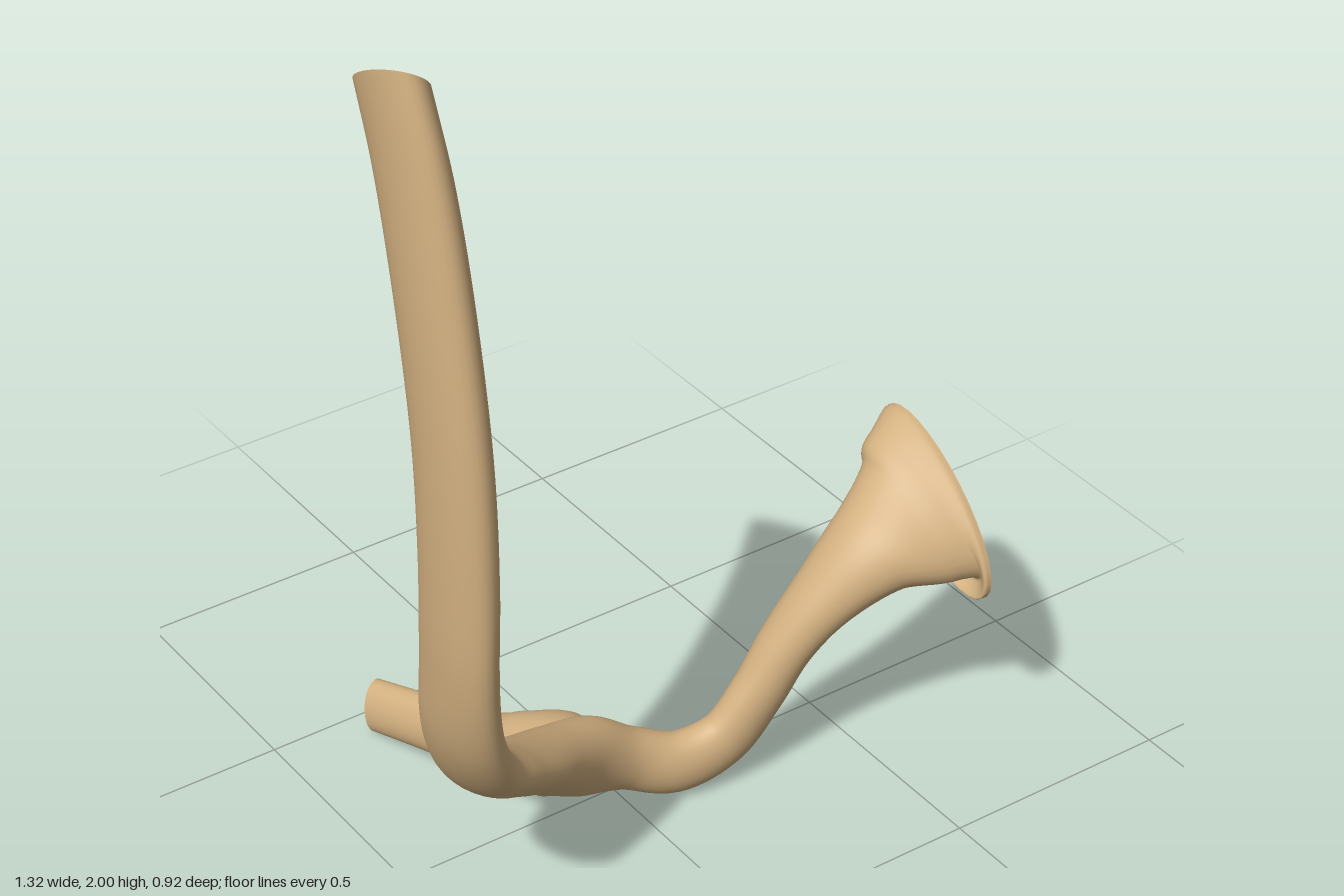
import * as THREE from 'three';

const SIDES = 32;
const smooth = (pts) => new THREE.CatmullRomCurve3(pts, false, 'centripetal');

// Elliptical loft. Each station: [centre, long half-width, short half-width, long-axis direction]
function loft(stations, steps, { endTangent, warp } = {}) {
  const v = (a) => new THREE.Vector3(...a);
  const path = smooth(stations.map((s) => v(s[0])));
  const size = smooth(stations.map((s, i) => new THREE.Vector3(s[1], s[2], i * 0.05)));
  const axis = smooth(stations.map((s, i) => v(s[3]).normalize().addScaledVector(new THREE.Vector3(1, 1, 1), i * 1e-5)));
  const pos = [], index = [], rings = [];

  for (let i = 0; i <= steps; i++) {
    const u = i / steps;
    const c = path.getPoint(u), s = size.getPoint(u), t = path.getTangent(u);
    if (endTangent) t.lerp(endTangent, THREE.MathUtils.smoothstep(u, 0.88, 0.97)).normalize();
    const d = axis.getPoint(u);
    d.addScaledVector(t, -d.dot(t)).normalize();
    const e = t.clone().cross(d);
    const ring = [];
    for (let j = 0; j < SIDES; j++) {
      const a = (j / SIDES) * Math.PI * 2;
      const p = c.clone().addScaledVector(d, s.x * Math.cos(a)).addScaledVector(e, s.y * Math.sin(a));
      if (warp) warp(p, c);
      ring.push(p);
      pos.push(p.x, p.y, p.z);
    }
    rings.push([c, ring]);
  }
  for (let i = 0; i < steps; i++) {
    for (let j = 0; j < SIDES; j++) {
      const k = (j + 1) % SIDES;
      const a = i * SIDES + j, b = i * SIDES + k;
      index.push(a, b, a + SIDES, b, b + SIDES, a + SIDES);
    }
  }
  // Flat caps with their own vertices keep the cut edges sharp
  const cap = ([c, ring], flip) => {
    const base = pos.length / 3;
    pos.push(c.x, c.y, c.z);
    ring.forEach((p) => pos.push(p.x, p.y, p.z));
    for (let j = 0; j < SIDES; j++) {
      const a = base + 1 + j, b = base + 1 + ((j + 1) % SIDES);
      index.push(base, flip ? b : a, flip ? a : b);
    }
  };
  cap(rings[0], true);
  cap(rings[steps], false);

  const g = new THREE.BufferGeometry();
  g.setAttribute('position', new THREE.Float32BufferAttribute(pos, 3));
  g.setIndex(index);
  g.computeVertexNormals();
  return g;
}

export function createModel() {
  const group = new THREE.Group();
  group.name = 'branchHook';
  const wood = new THREE.MeshStandardMaterial({ color: 0xd2b080 });
  wood.name = 'tanWood';

  const add = (name, geometry) => {
    const mesh = new THREE.Mesh(geometry, wood);
    mesh.name = name;
    group.add(mesh);
  };

  // Tall post, bending into the low arm and rising again to the flared foot
  const Z = [0, 0, 1], ARM = [0.57, 0, 0.82];
  const main = [
    [[-0.602, 1.94, 0.222], 0.094, 0.055, Z],
    [[-0.592, 1.78, 0.264], 0.099, 0.055, Z],
    [[-0.585, 1.55, 0.308], 0.102, 0.055, Z],
    [[-0.578, 1.25, 0.344], 0.104, 0.055, Z],
    [[-0.575, 1.0, 0.35], 0.105, 0.055, Z],
    [[-0.571, 0.8, 0.338], 0.106, 0.053, Z],
    [[-0.546, 0.6, 0.305], 0.102, 0.053, [0.15, 0, 1]],
    [[-0.48, 0.455, 0.255], 0.098, 0.052, [0.35, 0, 0.9]],
    [[-0.4, 0.375, 0.205], 0.092, 0.05, ARM],
    [[-0.3, 0.298, 0.14], 0.088, 0.055, ARM],
    [[-0.2, 0.228, 0.085], 0.078, 0.07, ARM],
    [[-0.1, 0.172, 0.052], 0.066, 0.082, [0.3, 0, 0.95]],
    [[0, 0.122, 0.053], 0.052, 0.068, [-0.1, 0, 1]],
    [[0.1, 0.086, 0.08], 0.05, 0.069, [-0.2, 0, 1]],
    [[0.2, 0.116, 0.102], 0.048, 0.066, Z],
    [[0.27, 0.215, 0.122], 0.052, 0.06, Z],
    [[0.33, 0.325, 0.138], 0.06, 0.056, Z],
    [[0.4, 0.42, 0.16], 0.073, 0.062, [0, -0.2, 1]],
    [[0.5, 0.51, 0.183], 0.105, 0.08, [0, -0.4, 0.9]],
    [[0.59, 0.553, 0.195], 0.155, 0.083, [0, -0.64, 0.77]],
    [[0.625, 0.568, 0.195], 0.188, 0.09, [0, -0.64, 0.77]],
    [[0.64, 0.572, 0.195], 0.213, 0.1, [0, -0.64, 0.77]],
    [[0.655, 0.574, 0.195], 0.217, 0.1, [0, -0.64, 0.77]],
  ];
  add('postAndFlaredFoot', loft(main, 176, {
    endTangent: new THREE.Vector3(1, 0, 0),
    // Slanted cut across the top of the post
    warp: (p, c) => {
      const w = THREE.MathUtils.smoothstep(c.y, 1.5, 1.94);
      p.y += w * (-0.77 * (p.x - c.x) + 0.3 * (p.z - c.z));
    },
  }));

  // Short rear branch, flared where it grows out of the arm
  const UP = [0.25, 1, 0];
  add('rearBranch', loft([
    [[-0.13, 0.172, 0.05], 0.07, 0.1, UP],
    [[-0.142, 0.168, 0.01], 0.084, 0.108, UP],
    [[-0.17, 0.154, -0.05], 0.078, 0.076, UP],
    [[-0.19, 0.136, -0.1], 0.07, 0.058, UP],
    [[-0.214, 0.12, -0.17], 0.064, 0.046, UP],
    [[-0.247, 0.094, -0.3], 0.06, 0.039, UP],
    [[-0.284, 0.063, -0.447], 0.057, 0.034, UP],
  ], 60));

  return group;
}
